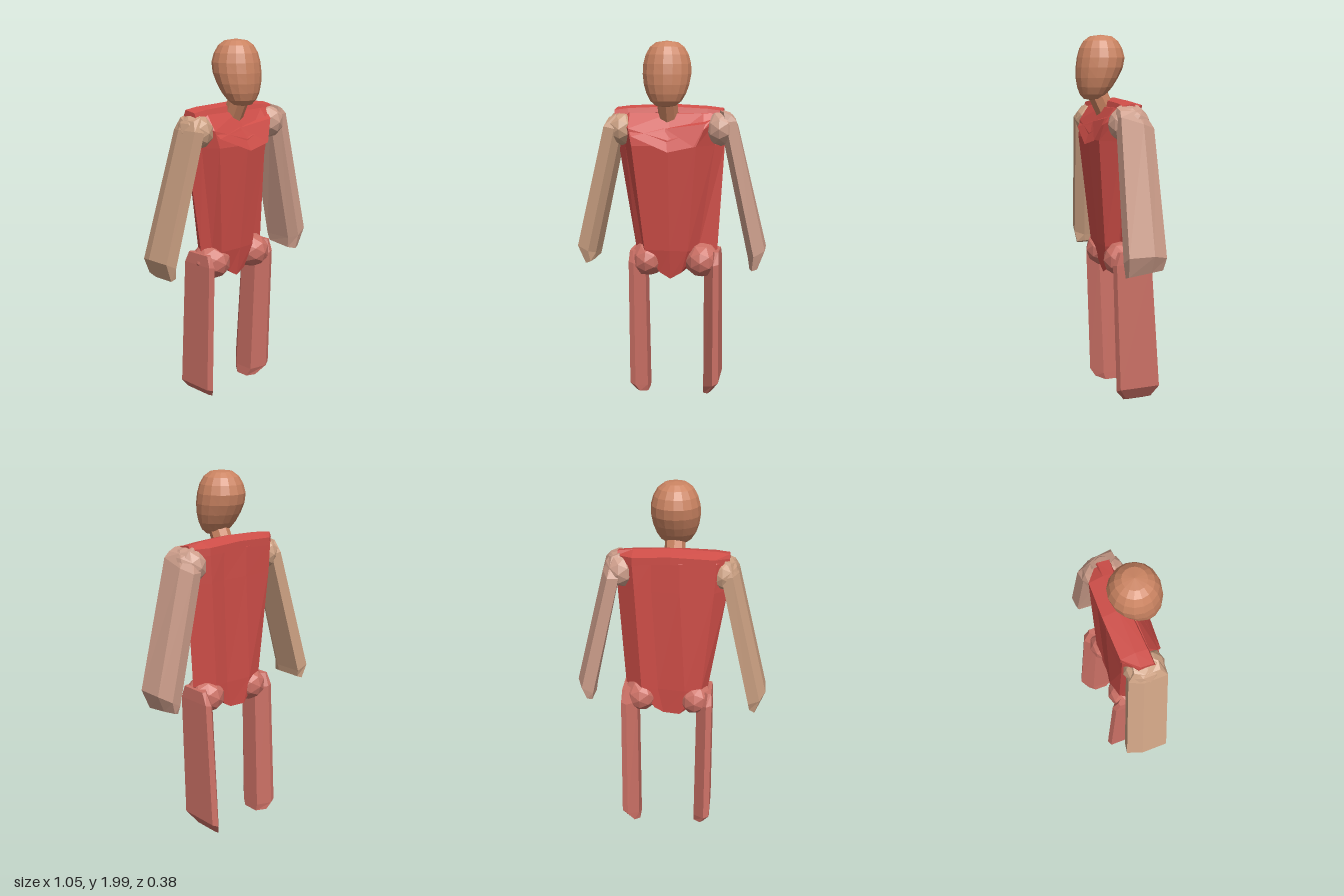
import * as THREE from 'three';

const mat = (color) => new THREE.MeshStandardMaterial({ color, flatShading: true, side: THREE.DoubleSide });
const RED = mat(0xcf4e48), LEG = mat(0xcb7065), SKIN = mat(0xcb8462);
const ARM_L = mat(0xcd9e8b), ARM_R = mat(0xcba082);

function part(parent, name, geometry, material) {
  const mesh = new THREE.Mesh(geometry, material);
  mesh.name = name;
  parent.add(mesh);
  return mesh;
}

// Skins rings of [x, y, z] points from bottom to top and closes both ends
function loft(rings) {
  const n = rings[0].length, pos = [], idx = [];
  rings.forEach((r) => r.forEach((p) => pos.push(...p)));
  for (let k = 0; k < rings.length - 1; k++)
    for (let i = 0; i < n; i++) {
      const a = k * n + i, b = k * n + (i + 1) % n;
      idx.push(a, b, b + n, a, b + n, a + n);
    }
  const last = rings.length - 1;
  for (const [k, flip] of [[0, true], [last, false]]) {
    const c = pos.length / 3;
    pos.push(...[0, 1, 2].map((d) => rings[k].reduce((s, p) => s + p[d], 0) / n));
    for (let i = 0; i < n; i++) {
      const a = k * n + i, b = k * n + (i + 1) % n;
      idx.push(c, flip ? b : a, flip ? a : b);
    }
  }
  const g = new THREE.BufferGeometry();
  g.setAttribute('position', new THREE.Float32BufferAttribute(pos, 3));
  g.setIndex(idx);
  g.computeVertexNormals();
  return g;
}

// Limb cross-sections for the left side; side = -1 mirrors them for the right
const ARM_SECTION = [[-1, 0.55], [-0.3, 1], [1, 0.93], [1, -0.3], [0.3, -1], [-1, -0.9]];
const LEG_SECTION = [[-1, 0.45], [0.3, 1], [1, 0.9], [1, -0.9], [0.3, -1], [-1, -0.5]];
function limb(profile, side, sections) {
  return loft(sections.map(([x, y, z, hx, hz, tiltX = 0, tiltZ = 0]) => {
    const ring = profile.map(([u, v]) =>
      [side * (x + u * hx), y + u * hx * tiltX + v * hz * tiltZ, z + v * hz]);
    return side > 0 ? ring : ring.reverse();
  }));
}

function joint(parent, name, material, center, radius) {
  const ball = part(parent, name, new THREE.IcosahedronGeometry(1, 1), material);
  ball.scale.set(...radius);
  ball.position.set(...center);
}

export function createModel() {
  const model = new THREE.Group();
  model.name = 'figure';

  // Head: full egg whose chin narrows and leans forward
  const headGeo = new THREE.SphereGeometry(1, 16, 10);
  const p = headGeo.attributes.position;
  for (let i = 0; i < p.count; i++) {
    const y = p.getY(i), t = Math.max(0, 0.2 - y);
    const fill = Math.pow(Math.max(1 - y * y, 1e-6), -0.16);
    p.setXYZ(i, p.getX(i) * fill * 0.133 * (1 - 0.1 * t), y * 0.173,
      p.getZ(i) * fill * 0.133 * (1 - 0.24 * t) + 0.044 * t);
  }
  headGeo.computeVertexNormals();
  part(model, 'head', headGeo, SKIN).position.set(-0.015, 1.827, 0.057);

  // Neck
  const neck = part(model, 'neck', new THREE.CylinderGeometry(0.055, 0.055, 0.16, 8), SKIN);
  neck.position.set(-0.012, 1.645, 0.055);
  neck.rotation.x = 0.45;

  // Torso: flat front panel, folded-in sides and a back with a shallow crease
  const flat = (y, pts) => pts.map(([x, z]) => [x, y, z]);
  part(model, 'torso', loft([
    [[-0.06, 0.74, 0.05], [0, 0.705, 0.05], [0.06, 0.74, 0.05], [0.08, 0.75, 0], [0.1, 0.76, -0.03],
      [0.09, 0.75, -0.08], [0.04, 0.72, -0.075], [-0.05, 0.72, -0.09], [-0.1, 0.75, -0.07],
      [-0.11, 0.78, -0.03], [-0.08, 0.76, 0]],
    flat(0.87, [[-0.14, 0.075], [0, 0.08], [0.1, 0.075], [0.15, 0.01], [0.255, -0.01],
      [0.16, -0.09], [0.07, -0.08], [-0.08, -0.1], [-0.17, -0.08], [-0.205, -0.02], [-0.16, 0.02]]),
    flat(1.45, [[-0.2, 0.125], [0, 0.135], [0.15, 0.125], [0.24, 0.03], [0.29, -0.01],
      [0.19, -0.095], [0.1, -0.088], [-0.05, -0.1], [-0.23, -0.09], [-0.3, -0.02], [-0.25, 0.04]]),
    [[-0.22, 1.54, 0.11], [0, 1.48, 0.13], [0.19, 1.54, 0.11], [0.25, 1.58, 0.05], [0.285, 1.6, -0.02],
      [0.2, 1.61, -0.095], [0.1, 1.61, -0.09], [-0.05, 1.61, -0.1], [-0.24, 1.61, -0.09],
      [-0.305, 1.6, -0.02], [-0.28, 1.58, 0.05]],
    [[-0.22, 1.62, 0.055], [0, 1.62, 0.055], [0.18, 1.62, 0.055], [0.25, 1.625, 0.04], [0.28, 1.63, -0.02],
      [0.2, 1.63, -0.08], [0.1, 1.63, -0.085], [-0.05, 1.63, -0.09], [-0.24, 1.63, -0.08],
      [-0.3, 1.63, -0.02], [-0.28, 1.625, 0.04]],
  ]), RED);

  // Shoulder yoke: raised band across the top of the back
  const yoke = (x, y, front, back) => [[x, y - 0.03, front], [x, y, front - 0.01],
    [x, y + 0.012, -0.02], [x, y - 0.01, back], [x, y - 0.05, back]];
  part(model, 'shoulderYoke', loft([yoke(-0.305, 1.635, 0.058, -0.03), yoke(-0.23, 1.645, 0.055, -0.095),
    yoke(0, 1.655, 0.045, -0.1), yoke(0.2, 1.645, 0.048, -0.095), yoke(0.283, 1.635, 0.055, -0.03)]), RED);

  // Chest collar: loose flap dipping to a point at the front
  const collar = new THREE.BufferGeometry();
  collar.setAttribute('position', new THREE.Float32BufferAttribute([
    -0.24, 1.58, 0.07, -0.2, 1.5, 0.13, 0, 1.42, 0.155, 0.14, 1.45, 0.15, 0.2, 1.57, 0.11,
    0.24, 1.6, 0.05, -0.02, 1.54, 0.1], 3));
  collar.setIndex([0, 1, 6, 1, 2, 6, 2, 3, 6, 3, 4, 6, 4, 5, 6]);
  collar.computeVertexNormals();
  part(model, 'collar', collar, RED);

  // Arms
  part(model, 'leftArm', limb(ARM_SECTION, 1, [
    [0.46, 0.79, -0.01, 0.022, 0.1, 0.3, -0.12], [0.476, 0.865, -0.008, 0.046, 0.113, 0.6],
    [0.315, 1.55, -0.012, 0.045, 0.1, 0.1, 0.3], [0.3, 1.625, 0.015, 0.032, 0.065, -0.4]]), ARM_L);
  part(model, 'rightArm', limb(ARM_SECTION, -1, [
    [0.46, 0.785, -0.045, 0.022, 0.1, -0.4], [0.477, 0.855, -0.045, 0.046, 0.113, 0.5],
    [0.31, 1.54, 0.01, 0.045, 0.1, 0.2], [0.3, 1.61, 0.01, 0.032, 0.065, -0.4]]), ARM_R);
  joint(model, 'leftShoulder', ARM_L, [0.27, 1.542, 0.005], [0.092, 0.098, 0.113]);
  joint(model, 'rightShoulder', ARM_R, [-0.27, 1.535, 0.012], [0.09, 0.095, 0.108]);

  // Legs
  part(model, 'leftLeg', limb(LEG_SECTION, 1, [
    [0.2, 0.018, -0.075, 0.022, 0.08, 0.5], [0.227, 0.08, -0.066, 0.045, 0.125, 0.5],
    [0.228, 0.79, -0.03, 0.043, 0.11, 0.2], [0.24, 0.865, -0.025, 0.027, 0.08]]), LEG);
  part(model, 'rightLeg', limb(LEG_SECTION, -1, [
    [0.17, 0.022, -0.058, 0.03, 0.095, 0.4], [0.186, 0.065, -0.055, 0.046, 0.117, 0.3],
    [0.188, 0.79, -0.025, 0.043, 0.107, 0.2], [0.2, 0.86, -0.02, 0.027, 0.08]]), LEG);
  joint(model, 'leftHip', LEG, [0.17, 0.81, -0.01], [0.1, 0.1, 0.118]);
  joint(model, 'rightHip', LEG, [-0.135, 0.805, -0.015], [0.1, 0.1, 0.118]);

  return model;
}
